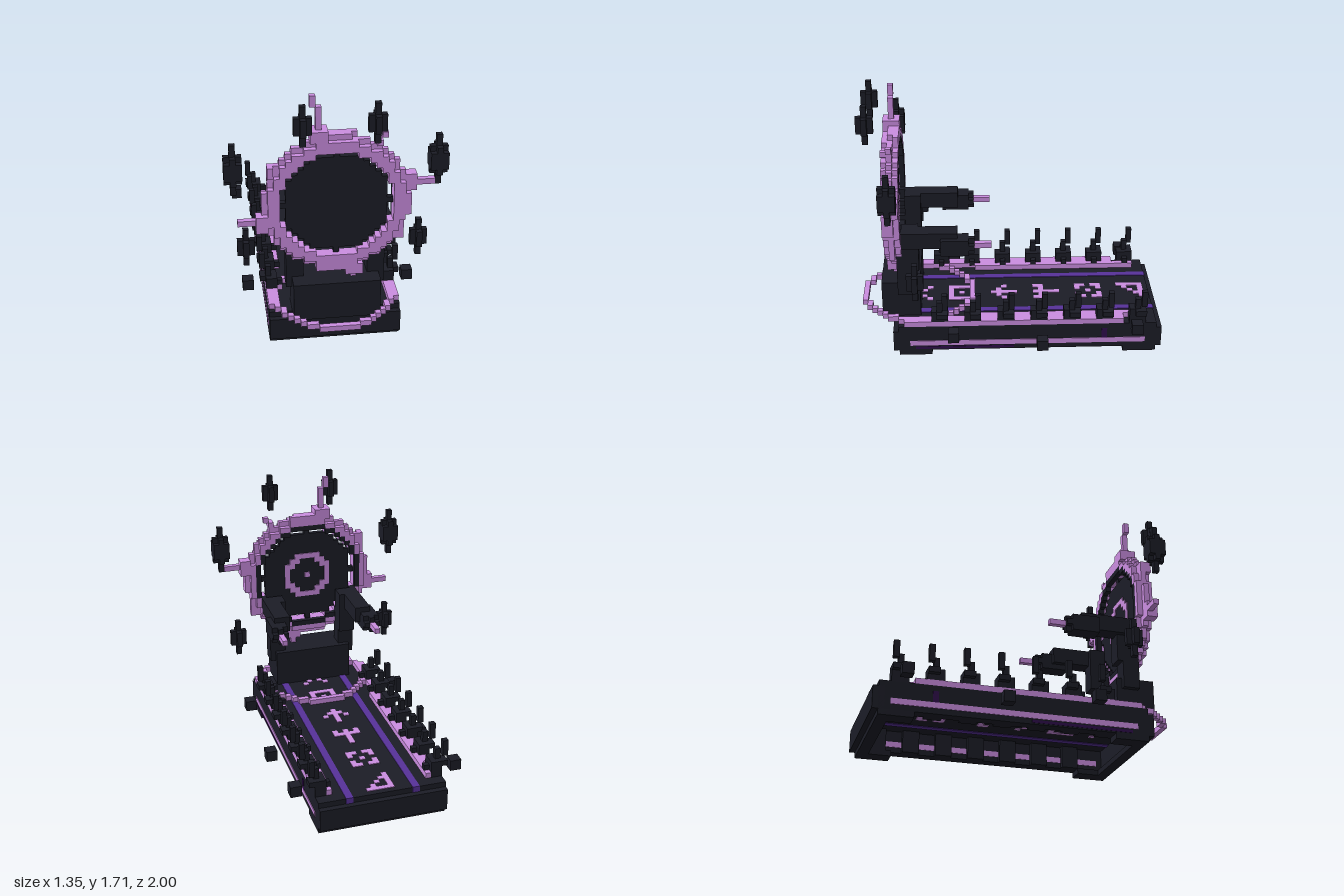
import * as THREE from 'three';
import { mergeGeometries } from 'three/addons/utils/BufferGeometryUtils.js';

const U = 2 / 55; // one cube of the block grid

const material = (name, color) => {
  const m = new THREE.MeshStandardMaterial({ color });
  m.name = name;
  return m;
};

// Box over inclusive grid indices; x and z are centred on 0, y counts up from the floor.
// grow = extra thickness [x, y, z] on every side, for inlays
function block(x0, x1, y0, y1, z0, z1, grow = [0, 0, 0]) {
  const g = new THREE.BoxGeometry(
    (x1 - x0 + 1) * U + 2 * grow[0], (y1 - y0 + 1) * U + 2 * grow[1], (z1 - z0 + 1) * U + 2 * grow[2]);
  return g.translate((x0 + x1) / 2 * U, (y0 + y1 + 1) / 2 * U, (z0 + z1) / 2 * U);
}

// The same box on both sides
const pair = (x0, x1, ...rest) => [block(x0, x1, ...rest), block(-x1, -x0, ...rest)];

// Runs of cells whose distance from the centre lies within [r0, r1)
function discCells(r0, r1, make) {
  const out = [], n = Math.ceil(r1);
  for (let b = -n; b <= n; b++) {
    let start = null;
    for (let a = -n; a <= n + 1; a++) {
      const r = Math.hypot(a, b), inside = r >= r0 && r < r1;
      if (inside && start === null) start = a;
      if (!inside && start !== null) { out.push(make(start, a - 1, b)); start = null; }
    }
  }
  return out;
}

export function createModel() {
  const dark = material('dark stone', 0x1c1d27);
  const purple = material('glowing purple', 0xcc8ee2);
  const violet = material('deep violet', 0x57319a);
  const plum = material('dark plum', 0x2f0d4c);
  const group = new THREE.Group();
  const add = (name, mat, parts) => {
    const mesh = new THREE.Mesh(mergeGeometries(parts), mat);
    mesh.name = name;
    group.add(mesh);
  };

  // Hollow platform: deck, side rails, end plates and feet
  add('deck', dark, [block(-8, 8, 5, 5, -26, 20)]);
  add('rails', dark, [...pair(10, 11, 1, 4, -26, 20), ...pair(9, 11, 5, 5, -26, 20)]);
  add('endPlates', dark, [block(-11, 11, 1, 4, 20, 21), block(-11, 11, 1, 4, -27, -26)]);
  add('feet', dark, [
    block(-11, 11, 0, 0, 19, 20), block(-11, 11, 0, 0, -26, -25),
    ...pair(9, 11, 0, 0, 15, 18), ...pair(9, 11, 0, 0, -24, -21),
  ]);
  add('railStripes', purple, pair(10, 11, 2, 2, -24, 18, [0.004, 0, 0]));
  add('railShadowStripes', plum, [
    ...pair(11, 11, 1, 1, 0, 17, [0.003, -0.009, 0]),
    ...pair(11, 11, 3, 4, -17, -17, [0.003, 0, 0]),
  ]);
  add('railCaps', purple, [
    ...pair(9, 9, 6, 6, -24, 6), ...pair(10, 11, 6, 6, -20, 19),
  ]);
  add('deckLines', violet, pair(6, 6, 5, 5, -26, 20, [0.005, 0.004, 0.004]));

  // Runes let into the deck, visible from above and below
  const runes = [
    ['#####', '#..#.', '#.#..', '##...', '#....'],
    ['##.##', '#...#', '..#..', '#...#', '##.##'],
    ['..#..', '..#..', '..#..', '#####', '#.#.#'],
    ['..#..', '..#..', '#.#.#', '.###.', '..#..'],
    ['#####', '#...#', '#.#.#', '#...#', '#####'],
    ['#...#', '.#.#.'],
  ];
  const runeCells = [];
  runes.forEach((rows, i) => rows.forEach((row, j) => [...row].forEach((c, k) => {
    const z = -25 + 8 * i + j;
    if (c === '#') runeCells.push(block(k - 2, k - 2, 5, 5, z, z, [0, 0.005, 0]));
  })));
  add('deckRunes', purple, runeCells);

  // Curved claws along both rails, with studs inside the rails below them
  const claws = [], studs = [];
  for (let i = 0; i < 7; i++) {
    const z = 13 - 6 * i;
    claws.push(
      ...pair(10, 11, 7, 8, z - 1, z + 1),
      ...pair(9, 9, 7, 7, z, z),
      ...pair(12, 12, 8, 8, z - 1, z),
      ...pair(11, 11, 9, 10, z, z),
      ...pair(12, 12, 10, 12, z - 1, z - 1));
    studs.push(...pair(9, 9, 1, 4, z - 1, z + 1));
  }
  claws.push(...pair(10, 11, 6, 6, -24, -22));
  add('claws', dark, claws);
  add('railStuds', dark, studs);

  // Pedestal inside a ring of blocks, with stepped columns
  add('floorRing', purple, discCells(9.5, 10.5, (a0, a1, b) => block(a0, a1, 6, 6, 17 + b, 17 + b)));
  add('pedestal', dark, [block(-7, 7, 6, 12, 17, 23)]);
  add('columns', dark, [
    ...pair(6, 8, 11, 15, 18, 20),
    ...pair(6, 8, 16, 18, 17, 20),
    ...pair(6, 8, 19, 23, 17, 19),
  ]);

  // Arms reaching back over the deck
  add('upperArms', dark, pair(7, 9, 21, 23, 10, 19));
  add('forearms', dark, [...pair(8, 10, 20, 22, 8, 12), ...pair(9, 9, 20, 22, 7, 7), ...pair(8, 10, 21, 21, 7, 7)]);
  add('fingers', purple, pair(9, 9, 21, 21, 4, 6));

  // Upright portal: stepped ring, dark backing, disc, spokes and the rune on its back
  const CY = 27;
  const ringLayer = (r0, r1, z0, z1) =>
    discCells(r0, r1, (a0, a1, b) => block(a0, a1, CY + b, CY + b, z0, z1));
  add('portalRing', purple, [
    ...ringLayer(9.6, 12.3, 21, 21),
    ...ringLayer(9.6, 11.6, 22, 22),
    ...ringLayer(10.6, 11.6, 20, 20),
  ]);
  add('portalBacking', dark, ringLayer(9.6, 10.6, 20, 20));
  add('portalDisc', dark, ringLayer(0, 8.7, 21, 21));
  add('portalSpokes', dark, [
    ...pair(9, 9, CY, CY, 21, 21),
    block(0, 0, CY + 9, CY + 9, 21, 21), block(0, 0, CY - 9, CY - 9, 21, 21),
    ...pair(8, 8, CY + 4, CY + 4, 21, 21), ...pair(8, 8, CY - 4, CY - 4, 21, 21),
    ...pair(4, 4, CY + 8, CY + 8, 21, 21), ...pair(4, 4, CY - 8, CY - 8, 21, 21),
  ]);
  const backPlate = (a0, a1, b) => {
    const g = new THREE.BoxGeometry((a1 - a0 + 1) * U, U, 0.008);
    return g.translate((a0 + a1) / 2 * U, (CY + b + 0.5) * U, 20.5 * U - 0.003);
  };
  add('portalRune', purple, [...discCells(3.6, 4.9, backPlate), backPlate(0, 0, 0)]);

  // Jagged shards growing from the portal ring: x and y range, then z range
  const shards = [
    [-3, -3, 40, 44, 21, 21], [-4, -4, 45, 46, 21, 21], [-4, -2, 39, 40, 20, 22],
    [-16, -13, 24, 24, 21, 21], [-13, -12, 23, 25, 21, 22],
    [13, 16, 30, 30, 21, 21], [12, 13, 29, 31, 20, 21],
    [3, 3, 13, 15, 21, 21], [2, 4, 14, 14, 21, 22], [-3, 4, 15, 15, 21, 22],
    [7, 7, 38, 38, 21, 22], [8, 8, 39, 39, 21, 21],
    [-11, -11, 33, 34, 21, 22], [11, 11, 20, 21, 21, 21],
    [-2, 3, 39, 39, 20, 20], [12, 12, 25, 28, 22, 22],
  ];
  add('portalShards', purple, shards.map(s => block(...s)));

  // Floating crystals: thin core with a cross-shaped waist
  const crystals = [];
  for (const [x, y0, y1, z] of [[6, 40, 46, 25], [17, 30, 38, 21], [15, 14, 20, 17]]) {
    crystals.push(
      ...pair(x, x, y0, y1, z, z),
      ...pair(x - 1, x + 1, y0 + 2, y1 - 2, z, z),
      ...pair(x, x, y0 + 2, y1 - 2, z - 1, z + 1));
  }
  crystals.push(...pair(16, 18, 33, 35, 20, 22));
  add('floatingCrystals', dark, crystals);

  // Small stones hovering beside the platform
  const stones = [[10, 5], [-6, 3], [-23, 6]];
  add('floatingStones', dark, stones.flatMap(([z, y]) => pair(14, 15, y, y + 1, z, z + 1)));

  return group;
}
